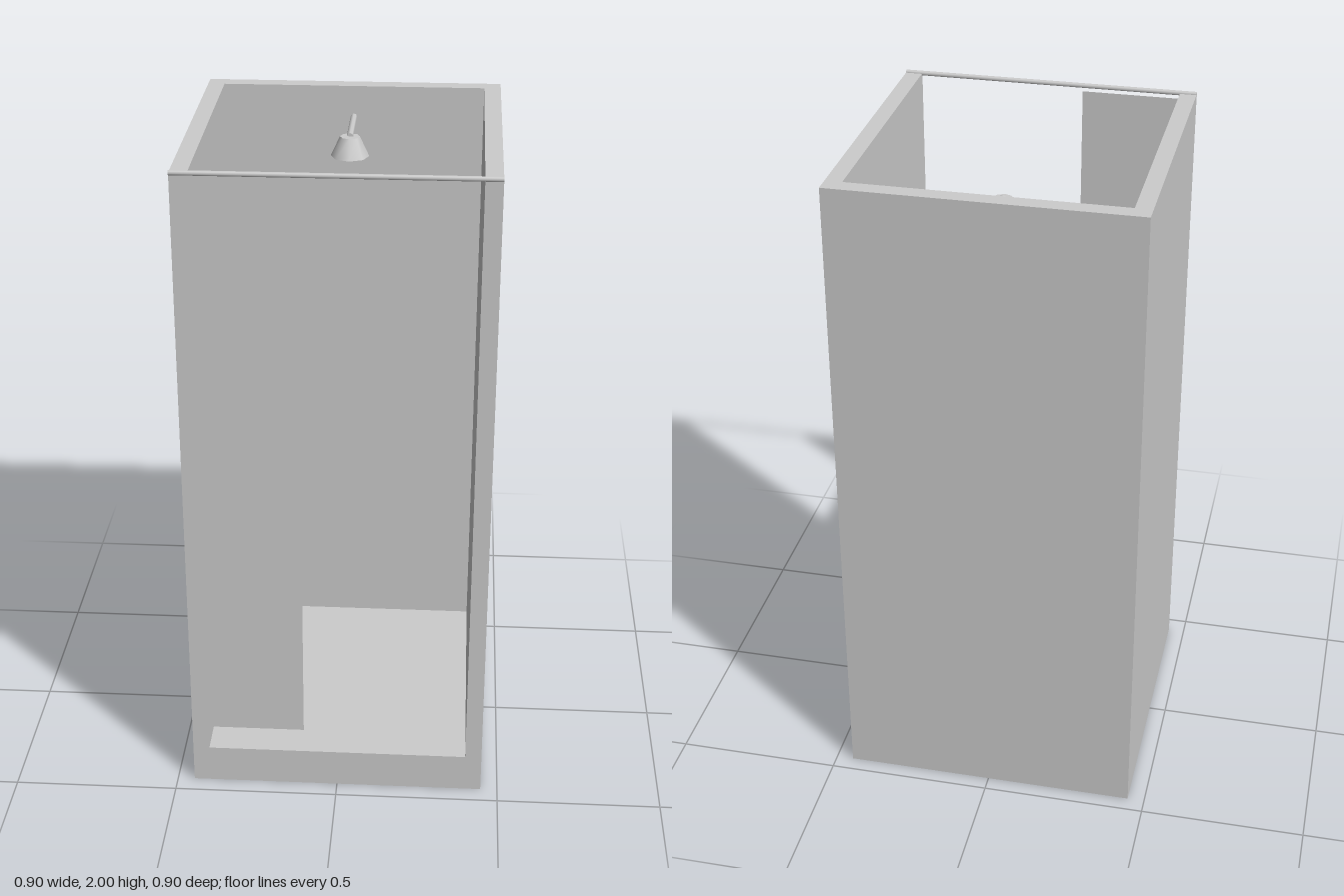
import * as THREE from 'three';

const W = 0.448;               // half width
const IN = 0.398;              // half width of the inside
const TOP = 1.9925;            // top of the walls
const FLOOR = 0.12;
const BACK = -0.452, BACK_IN = -0.402, FRONT = 0.4445;

export function createModel() {
  const model = new THREE.Group();
  model.name = 'showerCabin';
  const grey = new THREE.MeshStandardMaterial({ color: 0xcccccc, side: THREE.DoubleSide });
  grey.name = 'light grey';

  const add = (name, geometry, parent = model) => {
    const mesh = new THREE.Mesh(geometry, grey);
    mesh.name = name;
    parent.add(mesh);
    return mesh;
  };
  const outline = (points) =>
    new THREE.ShapeGeometry(new THREE.Shape(points.map(([x, y]) => new THREE.Vector2(x, y))));

  // Side walls: outer and inner skins
  const depth = FRONT - BACK, depthIn = FRONT - BACK_IN, heightIn = TOP - FLOOR;
  for (const [side, s] of [['left', 1], ['right', -1]]) {
    add(side + 'OuterWall', new THREE.PlaneGeometry(depth, TOP)
      .rotateY(s * Math.PI / 2).translate(s * W, TOP / 2, (FRONT + BACK) / 2));
    add(side + 'InnerWall', new THREE.PlaneGeometry(depthIn, heightIn)
      .rotateY(-s * Math.PI / 2).translate(s * IN, FLOOR + heightIn / 2, (FRONT + BACK_IN) / 2));
  }

  // Back wall: outer and inner skins
  add('backOuterWall', new THREE.PlaneGeometry(2 * W, TOP)
    .rotateY(Math.PI).translate(0, TOP / 2, BACK));
  add('backInnerWall', new THREE.PlaneGeometry(2 * IN, heightIn)
    .translate(0, FLOOR + heightIn / 2, BACK_IN));

  // Front frame, open at the top, with the drawn curtain joined to its right post
  add('frontFrameAndCurtain', outline([
    [-W, 0], [W, 0], [W, TOP], [IN, TOP], [IN, FLOOR], [-IN, FLOOR],
    [-IN, 0.2], [-0.102, 0.2], [-0.102, 1.974], [-IN, 1.974], [-IN, TOP], [-W, TOP],
  ]).translate(0, 0, FRONT));

  // U-shaped rim on top of the walls
  add('topRim', outline([
    [-W, -FRONT], [-IN, -FRONT], [-IN, -BACK_IN], [IN, -BACK_IN],
    [IN, -FRONT], [W, -FRONT], [W, -BACK], [-W, -BACK],
  ]).rotateX(-Math.PI / 2).translate(0, TOP, 0));

  // Raised floor, hollow underneath
  add('floor', new THREE.PlaneGeometry(2 * W, depth)
    .rotateX(-Math.PI / 2).translate(0, FLOOR, (FRONT + BACK) / 2));

  // Curtain rod along the front top edge
  add('curtainRod', new THREE.CylinderGeometry(0.0075, 0.0075, 2 * W, 8)
    .rotateZ(Math.PI / 2).translate(0, TOP, FRONT));

  // Shower head on its pipe
  const shower = new THREE.Group();
  shower.name = 'shower';
  model.add(shower);
  const headZ = -0.204, pipeLength = headZ - BACK_IN;
  add('showerHead', new THREE.CylinderGeometry(0.03, 0.058, 0.06, 8), shower)
    .position.set(0, 1.866, headZ);
  add('showerPipe', new THREE.CylinderGeometry(0.01, 0.01, pipeLength, 8)
    .rotateX(Math.PI / 2), shower).position.set(0, 1.896, BACK_IN + pipeLength / 2);

  return model;
}
